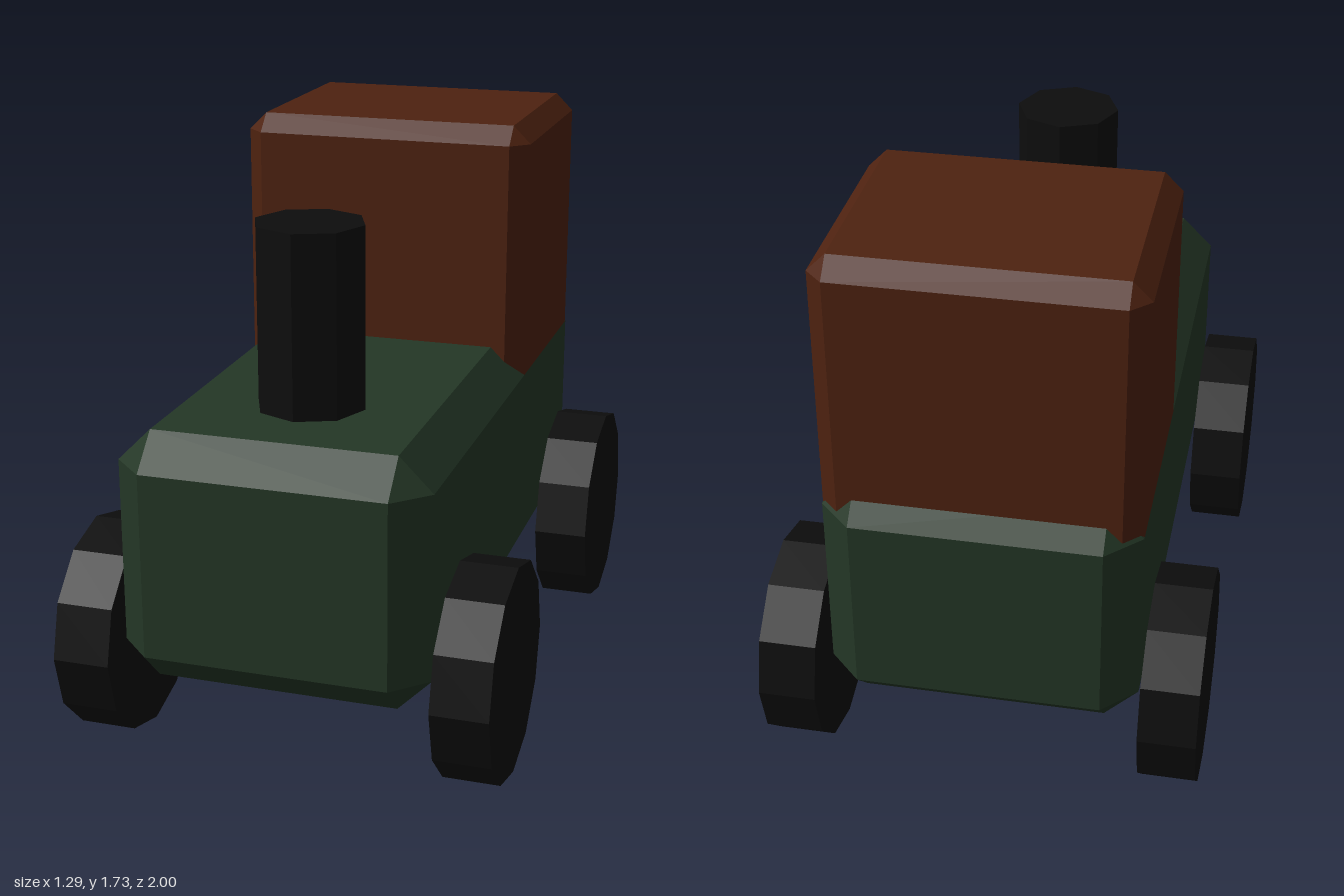
import * as THREE from 'three';
import { ConvexGeometry } from 'three/addons/geometries/ConvexGeometry.js';

const paint = (name, color) => {
  const m = new THREE.MeshStandardMaterial({ color, flatShading: true });
  m.name = name;
  return m;
};

// Box with every edge cut at 45 degrees and triangular corners
function chamferBox(w, h, d, c) {
  const points = [];
  for (const x of [-1, 1]) for (const y of [-1, 1]) for (const z of [-1, 1]) {
    for (let axis = 0; axis < 3; axis++) {
      const inset = [0, 1, 2].map((i) => (i === axis ? 0 : c));
      points.push(new THREE.Vector3(
        x * (w / 2 - inset[0]), y * (h / 2 - inset[1]), z * (d / 2 - inset[2])));
    }
  }
  return new ConvexGeometry(points);
}

export function createModel() {
  const green = paint('dark green', 0x243726);
  const brown = paint('rust brown', 0x4e2210);
  const black = paint('black', 0x0d0d0d);
  const model = new THREE.Group();
  model.name = 'tractor';

  const add = (name, geometry, material, x, y, z) => {
    const mesh = new THREE.Mesh(geometry, material);
    mesh.name = name;
    mesh.position.set(x, y, z);
    model.add(mesh);
  };

  // Body and cab; the cab's lower edge is sunk into the body
  add('body', chamferBox(0.92, 0.755, 1.945, 0.1), green, 0, 0.6525, 0.0275);
  add('cab', chamferBox(0.92, 0.855, 0.755, 0.055), brown, 0, 1.3025, -0.5125);

  // Chimney
  add('chimney', new THREE.CylinderGeometry(0.163, 0.163, 0.62, 8), black, 0, 1.26, 0.565);

  // Four wheels, axis along x
  const wheel = new THREE.CylinderGeometry(0.323, 0.323, 0.17, 12).rotateZ(Math.PI / 2);
  for (const [side, sx] of [['Left', 1], ['Right', -1]]) {
    for (const [end, sz] of [['front', 1], ['rear', -1]]) {
      add(`${end}${side}Wheel`, wheel, black, sx * 0.562, 0.325, sz * 0.677);
    }
  }
  return model;
}
